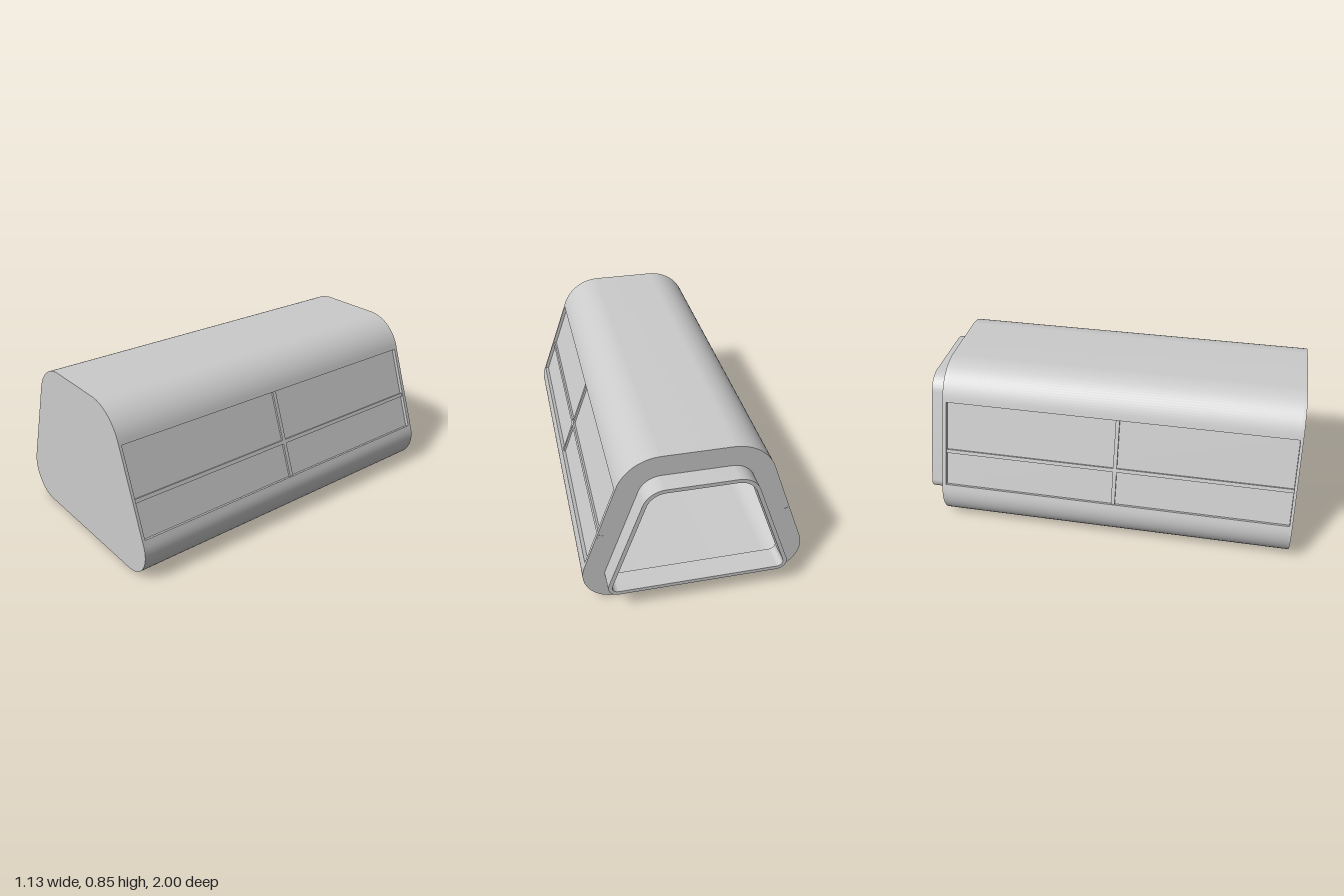
import * as THREE from 'three';
import { toCreasedNormals } from 'three/addons/utils/BufferGeometryUtils.js';

const TILT = 0.3405;                 // lean of the side walls
const WALL = 0.02;                   // shell thickness
const FRONT = 1, BACK = -0.895, REAR = -1;
const WIN_FRONT = 0.985, WIN_BACK = -0.875;

const material = new THREE.MeshStandardMaterial({ color: 0xcccccc });

// Corner arc on the +x side, pulled inwards by d
function arc(cx, cy, r, from, to, d) {
  const pts = [];
  const n = 20;
  for (let i = 0; i <= n; i++) {
    const t = from + (to - from) * i / n;
    pts.push(new THREE.Vector2(cx + (r - d) * Math.cos(t), cy + (r - d) * Math.sin(t)));
  }
  return pts;
}
const lowerArc = d => arc(0.405, 0.16, 0.16, -Math.PI / 2, TILT, d);
const upperArc = d => arc(0.17, 0.617, 0.228, TILT, Math.PI / 2, d);
const mirrored = pts => pts.map(p => new THREE.Vector2(-p.x, p.y)).reverse();

// Whole rounded trapezoid outline
function outline(d) {
  const half = [...lowerArc(d), ...upperArc(d)];
  return [...half, ...mirrored(half)];
}

// Point a distance s up the side wall from p
const along = (p, s) => new THREE.Vector2(p.x - Math.sin(TILT) * s, p.y + Math.cos(TILT) * s);

// Open strips of the wall above and below the windows
function roofLine(d) {
  const a = upperArc(d);
  const half = [along(a[0], -0.019), ...a];
  return [...half, ...mirrored(half)];
}
function floorLine(d) {
  const a = lowerArc(d);
  const half = [...a, along(a[a.length - 1], 0.023)];
  return [...mirrored(half), ...half];
}
const strip = line => new THREE.Shape([...line(0), ...line(WALL).reverse()]);

function ring(outer, inner) {
  const shape = new THREE.Shape(outline(outer));
  shape.holes.push(new THREE.Path(outline(inner)));
  return shape;
}

function extrude(name, shape, z0, z1) {
  const geo = new THREE.ExtrudeGeometry(shape, { depth: z1 - z0, bevelEnabled: false });
  geo.translate(0, 0, z0);
  const mesh = new THREE.Mesh(toCreasedNormals(geo, 0.5), material);
  mesh.name = name;
  return mesh;
}

function box(name, w, h, d, x, y, z) {
  const mesh = new THREE.Mesh(new THREE.BoxGeometry(w, h, d), material);
  mesh.name = name;
  mesh.position.set(x, y, z);
  return mesh;
}

// Window of one side: local x points out of the wall, local y runs along its slope
function sideWindow(side) {
  const g = new THREE.Group();
  g.name = side > 0 ? 'leftWindow' : 'rightWindow';
  const length = WIN_FRONT - WIN_BACK;
  const mid = (WIN_FRONT + WIN_BACK) / 2;
  g.add(box('pane', 0.004, 0.475, length, -0.021, 0, mid));
  g.add(box('horizontalBar', 0.02, 0.02, length + 0.022, -0.018, -0.042 * side, mid - 0.011));
  g.add(box('verticalBar', 0.02, 0.467, 0.02, -0.018, 0, mid));
  g.position.set(0.47 * side, 0.455, 0);
  g.rotation.z = side > 0 ? TILT : Math.PI - TILT;
  return g;
}

export function createModel() {
  const model = new THREE.Group();
  model.name = 'cabinModule';
  // Shell
  model.add(extrude('frontWall', new THREE.Shape(outline(0)), WIN_FRONT, FRONT));
  model.add(extrude('roof', strip(roofLine), WIN_BACK, WIN_FRONT));
  model.add(extrude('floor', strip(floorLine), WIN_BACK, WIN_FRONT));
  model.add(extrude('backWall', ring(0, 0.13), BACK, WIN_BACK));
  // Open connecting collar
  model.add(extrude('collar', ring(0.11, 0.13), REAR, BACK));
  // Side windows
  for (const side of [1, -1]) model.add(sideWindow(side));
  return model;
}
